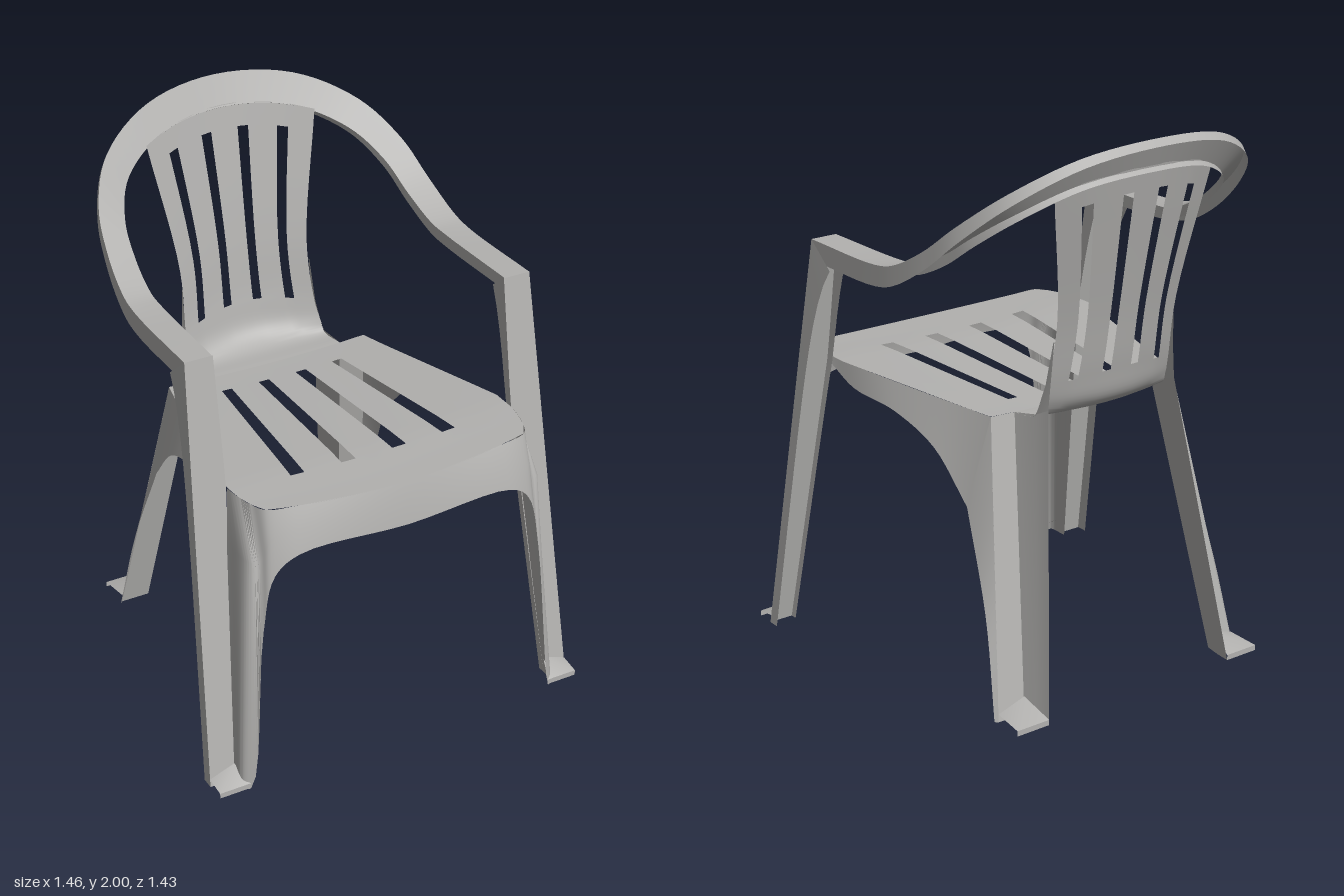
import * as THREE from 'three';
import { toCreasedNormals } from 'three/addons/utils/BufferGeometryUtils.js';

const plastic = new THREE.MeshStandardMaterial({ color: 0xb2b1af, side: THREE.DoubleSide });
plastic.name = 'grey plastic';

// Skin a grid of points: rows of equal length, with optional cells left open
function skin(name, rows, open = () => false) {
  const n = rows[0].length, index = [];
  for (let i = 0; i < rows.length - 1; i++) {
    for (let j = 0; j < n - 1; j++) {
      if (open(i, j)) continue;
      const a = i * n + j, b = a + 1, c = a + n, d = c + 1;
      index.push(a, b, d, a, d, c);
    }
  }
  const geo = new THREE.BufferGeometry();
  geo.setAttribute('position', new THREE.Float32BufferAttribute(rows.flat(2), 3));
  geo.setIndex(index);
  const mesh = new THREE.Mesh(toCreasedNormals(geo, 0.8), plastic);
  mesh.name = name;
  return mesh;
}

// Smooth a list of sections lengthwise, one spline per column
function smooth(sections, perSection = 6) {
  const steps = (sections.length - 1) * perSection;
  const curves = sections[0].map((_, j) =>
    new THREE.CatmullRomCurve3(sections.map(s => new THREE.Vector3(...s[j]))));
  return Array.from({ length: steps + 1 }, (_, i) => curves.map(c => c.getPoint(i / steps).toArray()));
}

const mix = THREE.MathUtils.lerp;
const flip = rows => rows.map(r => r.map(([x, y, z]) => [-x, y, z]));
// One half plus its mirror, where the last section lies on the centre line
const across = half => [...half, ...flip(half.slice(0, -1)).reverse()];

// Channel section: outer lip, outer edge, inner edge, shorter inner lip
function channel(outer, inner, drop) {
  const lip = (p, k) => p.map((v, i) => v + drop[i] * k);
  return [lip(outer, 1), outer, inner, lip(inner, 0.6)];
}

// Cross row of seat or back: z and y at the centre, bow in z, slatted half-width, full half-width
function crossRow([z, y, bow, slats, edge]) {
  const half = [0.165, 0.29, 0.62, 0.74, 1].map(f => f * slats);
  if (edge) half.push(edge);
  const rise = y > 1.1 ? -0.5 : 0.08;
  return [...half.map(x => -x).reverse(), 0, ...half].map(x => [x, y + rise * x * x, z + bow * x * x]);
}

const seat = [
  [0.675, 1.04, -0.18, 0.44, 0.5],
  [0.62, 1.04, -0.14, 0.44, 0.53],
  [0.54, 1.04, -0.05, 0.44, 0.545],
  [0.47, 1.042, 0, 0.435, 0.553],
  [0.37, 1.04, 0, 0.42, 0.555],
  [-0.19, 1.012, 0, 0.33, 0.425],
  [-0.3, 1.008, 0, 0.3, 0.4],
];
const back = [
  [-0.3, 1.008, 0, 0.3],
  [-0.41, 1.015, 0.3, 0.285],
  [-0.47, 1.06, 0.8, 0.278],
  [-0.5, 1.17, 0.95, 0.267],
  [-0.54, 1.4, 0.93, 0.258],
  [-0.638, 1.9, 0.7, 0.335],
];

// Front apron, turning into the inner wall of the front leg: seat edge and lower edge
const apron = [
  [[0.555, 1.065, 0.459], [0.637, 0, 0.638]],
  [[0.552, 1.065, 0.485], [0.635, 0, 0.69]],
  [[0.545, 1.064, 0.525], [0.61, 0, 0.71]],
  [[0.53, 1.062, 0.58], [0.545, 0.62, 0.69]],
  [[0.5, 1.06, 0.63], [0.497, 0.83, 0.686]],
  [[0.4, 1.053, 0.646], [0.41, 0.895, 0.696]],
  [[0, 1.04, 0.675], [0, 0.89, 0.706]],
].map(([top, low], k) => {
  // The sheet bulges forward just below the seat, except along the leg's rear edge
  const mid = [
    mix(top[0], low[0], 0.25),
    top[1] - Math.min(0.19, 0.45 * (top[1] - low[1])),
    mix(top[2], low[2], k === 0 ? 0.18 : 0.6),
  ];
  return [top, mid, low];
});

// Armrest and top rail: outer edge, and the twist from lying flat to standing up
const rail = [
  [0.66, 1.53, 0.38, 0],
  [0.656, 1.53, 0, 0],
  [0.652, 1.55, -0.1, 0.1],
  [0.635, 1.63, -0.25, 0.3],
  [0.6, 1.74, -0.39, 0.55],
  [0.5, 1.86, -0.53, 0.9],
  [0.29, 1.965, -0.638, 1.2],
  [0, 2, -0.685, Math.PI / 2],
].map(([x, y, z, twist]) => {
  const s = Math.sin(twist), c = Math.cos(twist);
  return channel([x, y, z], [x - 0.1 * c, y - 0.108 * s, z + 0.05 * s], [0, -0.075 + 0.055 * s, -0.03 * s]);
});

// Front post: a leaning channel whose sides widen where it meets the arm
const post = Array.from({ length: 17 }, (_, i) => {
  const t = i / 16, y = 1.53 * t, z = 0.638 - 0.258 * t;
  return channel([0.73 - 0.07 * t, y, z], [0.637 - 0.08 * Math.min(1, t / 0.7), y, z],
    [0, -0.09 * t ** 8, -0.045 - 0.065 * t ** 6]);
});

// Side skirt below the seat edge, then down the outside of the rear leg
const skirt = [
  [[0.555, 1.065, 0.45], [0.557, 1.04, 0.44]],
  [[0.539, 1.06, 0.31], [0.548, 0.98, 0.31]],
  [[0.492, 1.045, 0.1], [0.52, 0.95, 0.1]],
  [[0.446, 1.032, -0.1], [0.495, 0.87, -0.1]],
  [[0.4, 1.02, -0.3], [0.477, 0.7, -0.265]],
  [[0.482, 0.37, -0.434], [0.508, 0.35, -0.41]],
  [[0.53, 0, -0.51], [0.54, 0, -0.5]],
];

// Rear leg: back-facing panel, the wall behind it, and the gusset up to the backrest
const rearPanel = [
  [[0.4, 1.02, -0.3], [0.3, 1.015, -0.3]],
  [[0.53, 0, -0.51], [0.42, 0, -0.51]],
];
const rearWall = [
  [[0.3, 1.015, -0.3], [0.281, 1.03, -0.395], [0.276, 1.06, -0.455]],
  [[0.42, 0, -0.51], [0.41, 0, -0.57], [0.405, 0, -0.63]],
];
const gusset = [
  [rearWall[0][1], rearWall[0][2]],
  [[0.267, 1.14, -0.428], [0.266, 1.18, -0.458]],
  [[0.259, 1.3, -0.46], [0.259, 1.3, -0.465]],
];

// Sloping toe plate with a short upright rim
const toe = (inBack, outBack, inFront, outFront, zBack, zFront) => [
  [[inBack, 0.065, zBack], [outBack, 0.03, zBack]],
  [[inFront, 0.02, zFront], [outFront, 0.02, zFront]],
  [[inFront, 0, zFront], [outFront, 0, zFront]],
];

export function createModel() {
  const chair = new THREE.Group();
  chair.name = 'chair';

  // Four slots run through both the seat and the backrest
  const slot = j => [1, 3, 6, 8].includes(j);
  const backRows = smooth(back.map(crossRow));
  chair.add(
    skin('seat', seat.map(crossRow), (i, j) => i >= 3 && i < 5 && slot(j - 1)),
    skin('backrest', backRows, (i, j) => i >= 18 && i < backRows.length - 2 && slot(j)),
    skin('frontApron', smooth(across(apron))),
    skin('armsAndTopRail', smooth(across(rail))),
  );

  // Paired parts
  const pairs = {
    FrontPost: post,
    SideSkirt: smooth(skirt.slice(0, 5)),
    RearLegSide: smooth(skirt.slice(4)),
    RearLegPanel: rearPanel,
    RearLegWall: rearWall,
    BackGusset: gusset,
    FrontToe: toe(0.635, 0.729, 0.61, 0.728, 0.634, 0.708),
    RearToe: toe(0.42, 0.53, 0.405, 0.54, -0.51, -0.63),
  };
  for (const [name, rows] of Object.entries(pairs)) {
    chair.add(skin('left' + name, rows), skin('right' + name, flip(rows)));
  }
  return chair;
}
